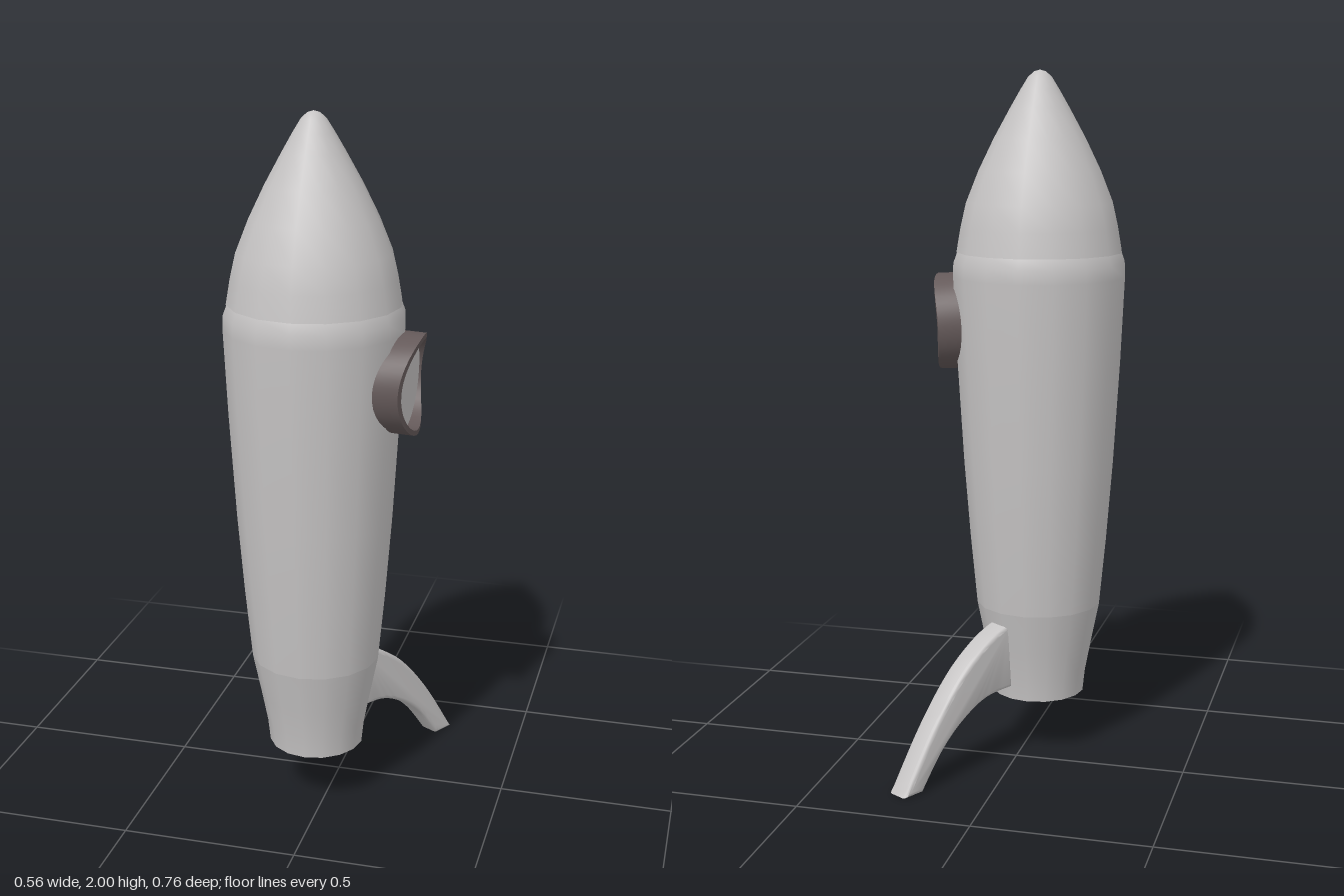
import * as THREE from 'three';
import { toCreasedNormals } from 'three/addons/utils/BufferGeometryUtils.js';

const points = (list) => list.map(([x, y]) => new THREE.Vector2(x, y));

export function createModel() {
  const model = new THREE.Group();
  model.name = 'rocket';

  const grey = new THREE.MeshStandardMaterial({ color: 0xc6c4c4, side: THREE.DoubleSide });
  grey.name = 'light grey';
  const dark = new THREE.MeshStandardMaterial({ color: 0x645959, side: THREE.DoubleSide });
  dark.name = 'dark brown grey';

  const add = (parent, name, geometry, material) => {
    const mesh = new THREE.Mesh(geometry, material);
    mesh.name = name;
    parent.add(mesh);
    return mesh;
  };

  // Everything hangs on the axis of the hull
  const rocket = new THREE.Group();
  rocket.name = 'rocketBody';
  rocket.position.set(-0.035, 0, 0.13);
  model.add(rocket);

  // Sixteen-sided turned sections; the tail is open underneath
  const sections = {
    tail: [[0.136, 0.175], [0.143, 0.24], [0.16, 0.33], [0.184, 0.45]],
    hull: [[0.184, 0.45], [0.203, 0.65], [0.221, 0.88], [0.239, 1.18], [0.25, 1.42], [0.249, 1.46], [0.238, 1.49]],
    noseCone: [[0.24, 1.49], [0.228, 1.56], [0.212, 1.63], [0.176, 1.72], [0.132, 1.81],
      [0.085, 1.895], [0.056, 1.945], [0.034, 1.98], [0.017, 1.995], [0, 2]],
  };
  for (const [name, profile] of Object.entries(sections)) {
    add(rocket, name, new THREE.LatheGeometry(points(profile), 16), grey);
  }

  // Porthole on the left side, leaning with the hull
  const porthole = new THREE.Group();
  porthole.name = 'porthole';
  porthole.position.set(0.298, 1.28, 0);
  porthole.rotation.z = -0.05;
  rocket.add(porthole);

  // Ring bent around the hull
  const ring = new THREE.LatheGeometry(
    points([[0.14, -0.075], [0.14, 0], [0.126, 0], [0.126, -0.075]]), 40);
  ring.rotateZ(-Math.PI / 2);
  const pos = ring.attributes.position;
  for (let i = 0; i < pos.count; i++) {
    const z = pos.getZ(i);
    pos.setX(i, pos.getX(i) + Math.sqrt(0.09 - z * z) - 0.3);
  }
  add(porthole, 'portholeRing', toCreasedNormals(ring, 0.6), dark);

  const pane = new THREE.CircleGeometry(0.13, 40);
  pane.rotateY(Math.PI / 2);
  pane.translate(-0.034, 0, 0);
  add(porthole, 'portholePane', pane, grey);

  // Single swept fin with softened edges
  const outline = new THREE.Shape();
  outline.moveTo(0.145, 0.22);
  outline.splineThru(points([[0.25, 0.212], [0.343, 0.168], [0.425, 0.1], [0.503, 0]]));
  outline.lineTo(0.572, 0);
  outline.splineThru(points([[0.46, 0.17], [0.35, 0.3], [0.246, 0.378], [0.16, 0.415]]));
  outline.closePath();
  const bevel = 0.012;
  const width = 0.07;
  const finGeometry = new THREE.ExtrudeGeometry(outline, {
    depth: width - 2 * bevel, bevelEnabled: true, bevelThickness: bevel,
    bevelSize: bevel, bevelOffset: -bevel, bevelSegments: 3, curveSegments: 5,
  });
  finGeometry.translate(0, 0, bevel - width / 2);
  const fin = add(rocket, 'fin', toCreasedNormals(finGeometry, 0.7), grey);
  fin.rotation.y = Math.PI / 3;

  return model;
}
